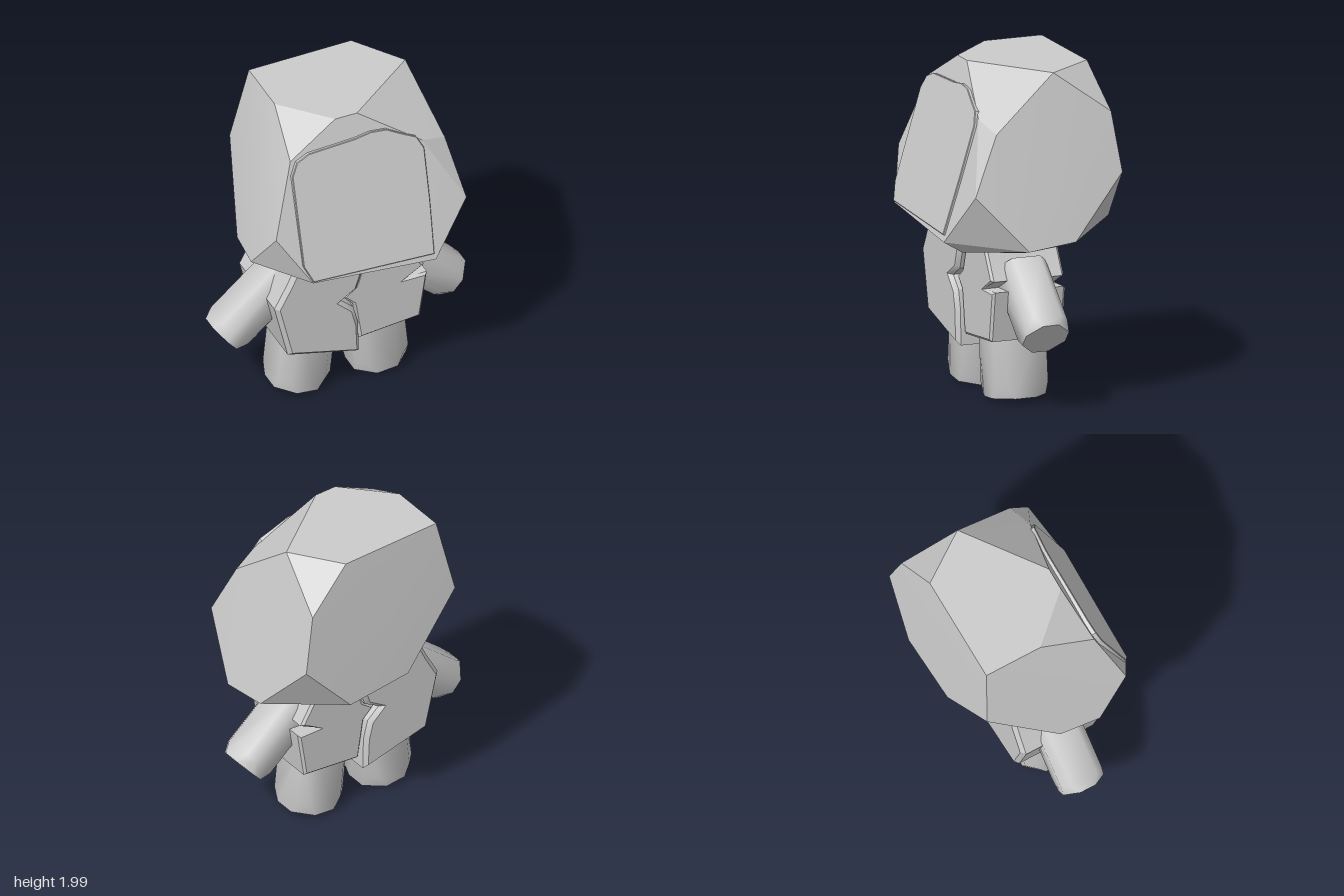
import * as THREE from 'three';
import { toCreasedNormals } from 'three/addons/utils/BufferGeometryUtils.js';
import { ConvexGeometry } from 'three/addons/geometries/ConvexGeometry.js';

const material = new THREE.MeshStandardMaterial({ color: 0xcccccc, roughness: 0.8 });

function part(name, geometry, parent) {
  const mesh = new THREE.Mesh(geometry, material);
  mesh.name = name;
  parent.add(mesh);
  return mesh;
}

function hull(points, crease) {
  const g = new ConvexGeometry(points.map(p => new THREE.Vector3(...p)));
  return toCreasedNormals(g, crease);
}

// octagon ring: rectangle w x d (half sizes) with corners cut by c
function octagon(w, d, c, y) {
  const pts = [];
  for (const sx of [-1, 1]) for (const sz of [-1, 1]) {
    pts.push([sx * (w - c), y, sz * d], [sx * w, y, sz * (d - c)]);
  }
  return pts;
}

// chunky limb: free end at y = 0 with chamfered corners, running up to y = length
function limb(w, d, length, c) {
  return hull([
    ...octagon(w, d, c * 1.7, 0),
    ...octagon(w, d, c, c * 1.3),
    ...octagon(w, d, c, length),
  ], 0.85);
}

// slab cut from an outline, between two depths, with a small bevel
function slab(outline, zBack, zFront, bevel) {
  const shape = new THREE.Shape(outline.map(p => new THREE.Vector2(...p)));
  const g = new THREE.ExtrudeGeometry(shape, {
    depth: zFront - zBack - 2 * bevel, bevelEnabled: true, bevelSegments: 1,
    bevelThickness: bevel, bevelSize: bevel, bevelOffset: -bevel,
  });
  g.translate(0, 0, zBack + bevel);
  return toCreasedNormals(g, 0.5);
}

export function createModel() {
  const model = new THREE.Group();
  model.name = 'figure';

  // head: a block with boldly cut corners
  const head = new THREE.Group();
  head.name = 'head';
  model.add(head);
  part('headBlock', hull([
    // flat crown
    [-0.36, 2, -0.05], [-0.36, 2, -0.41], [0.3, 2, -0.42], [0.51, 2, -0.12],
    [0.04, 2, 0.23], [-0.1, 2, 0.23],
    // upper corners
    [-0.41, 1.82, 0.28], [0.42, 1.74, 0.315], [0.585, 1.68, 0.27], [0.57, 1.75, -0.46],
    // middle corners
    [-0.56, 1.38, 0.41], [0.65, 1.33, 0.43], [0.645, 1.4, -0.5], [-0.46, 1.52, -0.46],
    // lower rim
    [-0.37, 1.08, 0.515], [0.41, 1.02, 0.53], [0.75, 1.0, 0.13], [0.735, 1.03, -0.17],
    [0.35, 1.07, -0.535], [-0.08, 1.1, -0.515], [-0.6, 1.1, -0.05], [-0.625, 1.1, 0.2],
    // underside
    [-0.5, 1.01, 0.15], [-0.32, 1.0, 0.38], [0.38, 0.94, 0.4], [0.6, 0.96, 0.1],
    [0.55, 0.97, -0.2], [0.3, 1.0, -0.42], [-0.1, 1.02, -0.4], [-0.46, 1.02, -0.05],
  ], 0.3), head);

  // face plate: thin panel lying on the sloping front
  const plate = part('facePlate', slab([
    [-0.37, 0.04], [0.4, 0.01], [0.415, 0.35], [0.42, 0.68], [0.38, 0.76], [0.3, 0.8],
    [0.2, 0.855], [0.1, 0.865], [0, 0.85], [-0.3, 0.835], [-0.38, 0.8], [-0.42, 0.72],
    [-0.42, 0.15],
  ], -0.06, 0.013, 0.004), head);
  plate.position.set(0, 1.05, 0.522);
  plate.rotation.x = -0.285;

  // torso: two jagged halves, the right one thicker and longer
  part('torsoRight', slab([
    [-0.37, 1.03], [-0.42, 0.92], [-0.505, 0.76], [-0.42, 0.4], [0.035, 0.29], [0.03, 0.5],
    [0.0, 0.62], [-0.08, 0.69], [0.02, 0.75], [0.08, 0.93], [0.05, 1.03],
  ], -0.25, 0.29, 0.025), model);
  part('torsoLeft', slab([
    [0.05, 0.36], [0.44, 0.4], [0.485, 0.705], [0.33, 0.695], [0.465, 0.765], [0.36, 0.94],
    [0.34, 1.0], [0.04, 1.0], [0.07, 0.9], [0.02, 0.75], [-0.06, 0.69], [0.01, 0.62],
  ], -0.21, 0.25, 0.015), model);

  // arms and legs
  const armGeometry = limb(0.13, 0.135, 0.5, 0.05);
  const legGeometry = limb(0.168, 0.168, 0.46, 0.06);
  for (const [side, s] of [['Left', 1], ['Right', -1]]) {
    const arm = part('arm' + side, armGeometry, model);
    arm.position.set(s * 0.725, s > 0 ? 0.465 : 0.485, 0.018);
    arm.rotation.z = s * 0.858;
    const leg = part('leg' + side, legGeometry, model);
    leg.position.set(s * 0.257, 0.022, 0.017);
    leg.rotation.z = s * 0.1;
  }
  return model;
}
